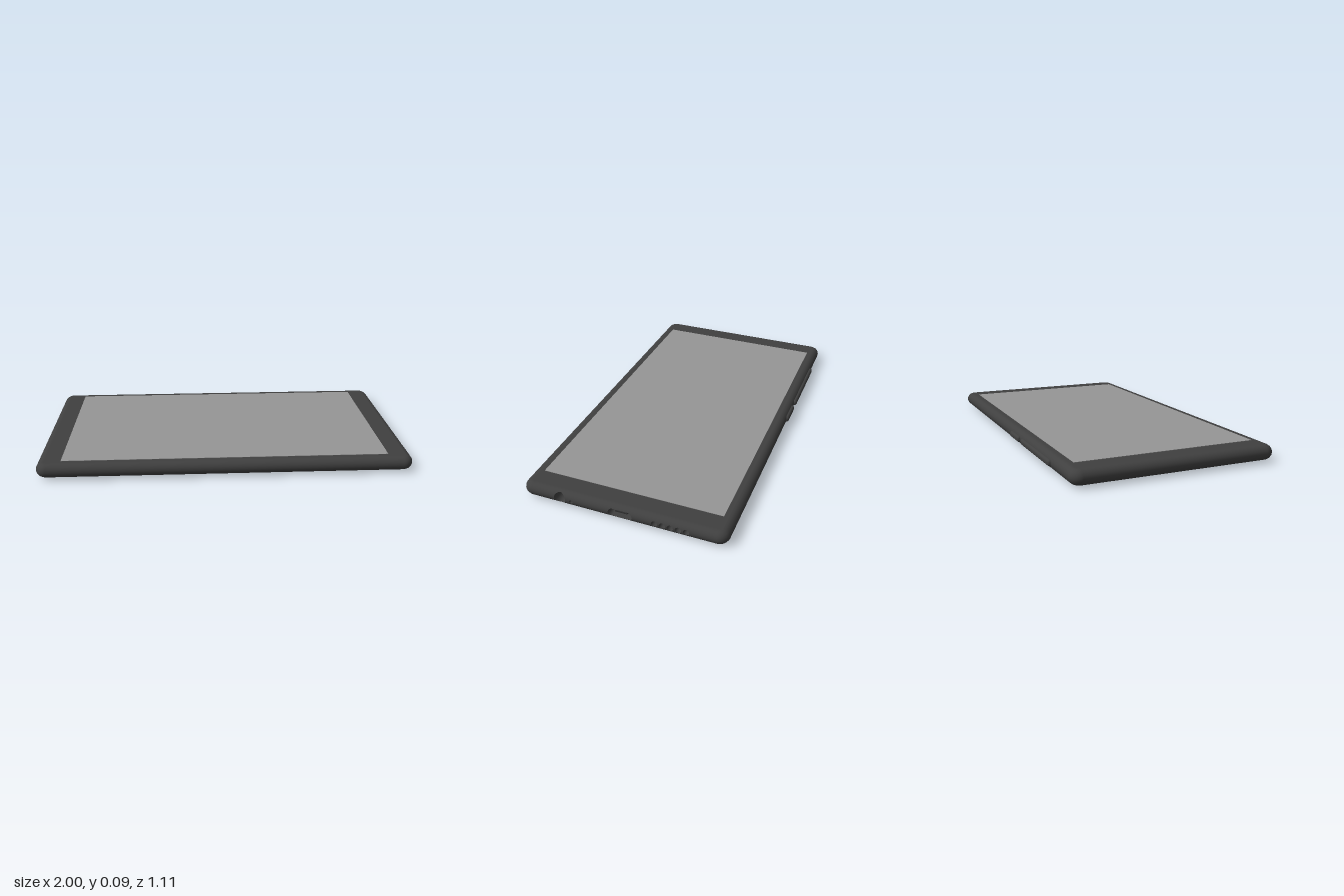
import * as THREE from 'three';
import { RoundedBoxGeometry } from 'three/addons/geometries/RoundedBoxGeometry.js';

const H = 0.039, MID = 0.049;            // half thickness and mid height of the body
const CX = 0.945, CZ = 0.495;            // centres of the plan corners
const R_IN = 0.015, R_EDGE = 0.04;       // flat-face corner radius, edge rounding
const LEVELS = 3, RINGS = 2 ** LEVELS;   // profile steps, shared by rim and port end

const mat = (color) => new THREE.MeshStandardMaterial({ color, side: THREE.DoubleSide });
const bodyMat = mat(0x404040), darkMat = mat(0x303030), screenMat = mat(0x969696);

function bufferGeometry(position, normal, index) {
  const g = new THREE.BufferGeometry();
  g.setAttribute('position', new THREE.Float32BufferAttribute(position, 3));
  if (normal) g.setAttribute('normal', new THREE.Float32BufferAttribute(normal, 3));
  if (index) g.setIndex(index);
  if (!normal) g.computeVertexNormals();
  return g;
}

// Rounded-rectangle plan outline: [angle, corner x, corner z]
function planOutline() {
  const out = [];
  for (let q = 0; q < 4; q++) {
    const sx = q === 0 || q === 3 ? 1 : -1, sz = q < 2 ? 1 : -1;
    for (let j = 0; j <= 8; j++) out.push([(q + j / 8) * Math.PI / 2, sx * CX, sz * CZ]);
  }
  return out;
}

// Rounded rim, left open along the straight port end (+x)
function rimGeometry(outline) {
  const pos = [], nor = [], idx = [], n = outline.length;
  for (let k = 0; k <= RINGS; k++) {
    const t = (k / RINGS - 0.5) * Math.PI, r = R_IN + R_EDGE * Math.cos(t);
    outline.forEach(([a, x, z], i) => {
      pos.push(x + r * Math.cos(a), MID + H * Math.sin(t), z + r * Math.sin(a));
      nor.push(Math.cos(t) * Math.cos(a), Math.sin(t), Math.cos(t) * Math.sin(a));
      if (k < RINGS && i < n - 1) {
        const p = k * n + i;
        idx.push(p, p + n, p + 1, p + 1, p + n, p + n + 1);
      }
    });
  }
  return bufferGeometry(pos, nor, idx);
}

// Port end: a flat sheet with holes (u = -z, t = profile angle), subdivided and bent
function portEndGeometry(holes) {
  const q = Math.PI / 2;
  const sheet = new THREE.Shape([[-CZ, -q], [CZ, -q], [CZ, q], [-CZ, q]].map((p) => new THREE.Vector2(...p)));
  holes.forEach((h) => sheet.holes.push(
    new THREE.Path(h.points.map((p) => new THREE.Vector2(p.x, Math.asin(p.y / H))))));
  const flat = new THREE.ShapeGeometry(sheet).toNonIndexed().attributes.position;
  let tris = [];
  for (let i = 0; i < flat.count; i += 3) {
    tris.push([0, 1, 2].map((j) => [flat.getX(i + j), flat.getY(i + j)]));
  }
  const half = (a, b) => [(a[0] + b[0]) / 2, (a[1] + b[1]) / 2];
  for (let l = 0; l < LEVELS; l++) {
    tris = tris.flatMap(([a, b, c]) => {
      const ab = half(a, b), bc = half(b, c), ca = half(c, a);
      return [[a, ab, ca], [ab, b, bc], [ca, bc, c], [ab, bc, ca]];
    });
  }
  const pos = [], nor = [];
  tris.flat().forEach(([u, t]) => {
    pos.push(CX + R_IN + R_EDGE * Math.cos(t), MID + H * Math.sin(t), -u);
    nor.push(Math.cos(t), Math.sin(t), 0);
  });
  return bufferGeometry(pos, nor);
}

// Wall of a port hole, from the curved surface in to its floor
function holeWallGeometry({ points, floor }) {
  const pos = [], idx = [];
  points.forEach((p, i) => {
    const x = CX + R_IN + R_EDGE * Math.sqrt(1 - (p.y / H) ** 2);
    pos.push(x, MID + p.y, -p.x, floor, MID + p.y, -p.x);
    const a = 2 * i, b = 2 * ((i + 1) % points.length);
    idx.push(a, b, a + 1, b, b + 1, a + 1);
  });
  return bufferGeometry(pos, null, idx);
}

// Pill outline (a circle when the straight part is 0)
function portHole(name, z, radius, straight, floor) {
  const points = [], n = 20;
  for (let i = 0; i < n; i++) {
    const a = ((i + 0.5) / n - 0.25) * Math.PI * 2;
    points.push(new THREE.Vector2(
      -z + radius * Math.cos(a) + Math.sign(Math.cos(a)) * straight, radius * Math.sin(a)));
  }
  return { name, points, floor };
}

export function createModel() {
  const model = new THREE.Group();
  model.name = 'phone';
  model.position.z = 0.005;
  const add = (name, geometry, material, x = 0, y = 0, z = 0) => {
    const mesh = new THREE.Mesh(geometry, material);
    mesh.name = name;
    mesh.position.set(x, y, z);
    model.add(mesh);
    return mesh;
  };

  // Body shell
  const outline = planOutline();
  const faceShape = () => new THREE.Shape(outline.map(([a, x, z]) =>
    new THREE.Vector2(x + R_IN * Math.cos(a), z + R_IN * Math.sin(a))));
  add('bodyRim', rimGeometry(outline), bodyMat);
  add('frontFace', new THREE.ShapeGeometry(faceShape()).rotateX(-Math.PI / 2), bodyMat, 0, MID + H);

  // Back with an opening for the fingerprint dish
  const padX = -0.37, padR = 0.095;
  const back = faceShape();
  back.holes.push(new THREE.Path().absarc(padX, 0, padR, 0, Math.PI * 2, true));
  add('backFace', new THREE.ShapeGeometry(back, 24).rotateX(Math.PI / 2), bodyMat, 0, MID - H);
  const dish = [[0, 0.012], [0.05, 0.011], [0.085, 0.007], [padR, 0]].map((p) => new THREE.Vector2(...p));
  add('fingerprintDish', new THREE.LatheGeometry(dish, 48), bodyMat, padX, MID - H);

  // Screen
  add('screen', new THREE.BoxGeometry(1.74, 0.006, 0.98), screenMat, 0, 0.087);

  // Ports on the +x end
  const holes = [
    portHole('headphoneJack', 0.332, 0.032, 0, 0.9),
    portHole('microphone', 0.268, 0.009, 0, 0.97),
    portHole('chargingPort', 0, 0.022, 0.042, 0.93),
  ];
  for (let i = 0; i < 5; i++) holes.push(portHole('speakerHole', -0.182 - i * 0.041, 0.016, 0, 0.96));
  add('portEnd', portEndGeometry(holes), bodyMat);
  holes.forEach((h) => {
    add(h.name + 'Wall', holeWallGeometry(h), bodyMat);
    add(h.name + 'Floor', new THREE.ShapeGeometry(new THREE.Shape(h.points)).rotateY(Math.PI / 2),
      bodyMat, h.floor, MID);
  });
  add('chargingPortTongue', new THREE.BoxGeometry(0.05, 0.006, 0.066), darkMat, 0.955, MID);

  // Side buttons on the rear long edge
  [['volumeButton', -0.5, 0.44], ['powerButton', -0.165, 0.15]].forEach(([name, x, length]) =>
    add(name, new RoundedBoxGeometry(length, 0.034, 0.04, 4, 0.014), bodyMat, x, MID, -0.542));

  // Camera bump with recessed lens, and flash
  const bump = [[0.094, 0.012], [0.094, 0.002], [0.092, 0], [0.082, 0], [0.08, 0.003], [0, 0.003]]
    .map((p) => new THREE.Vector2(...p));
  add('cameraBump', new THREE.LatheGeometry(bump, 48), darkMat, -0.805, 0, -0.342);
  add('flash', new THREE.CylinderGeometry(0.025, 0.025, 0.008, 24), darkMat, -0.655, 0.009, -0.342);

  return model;
}
